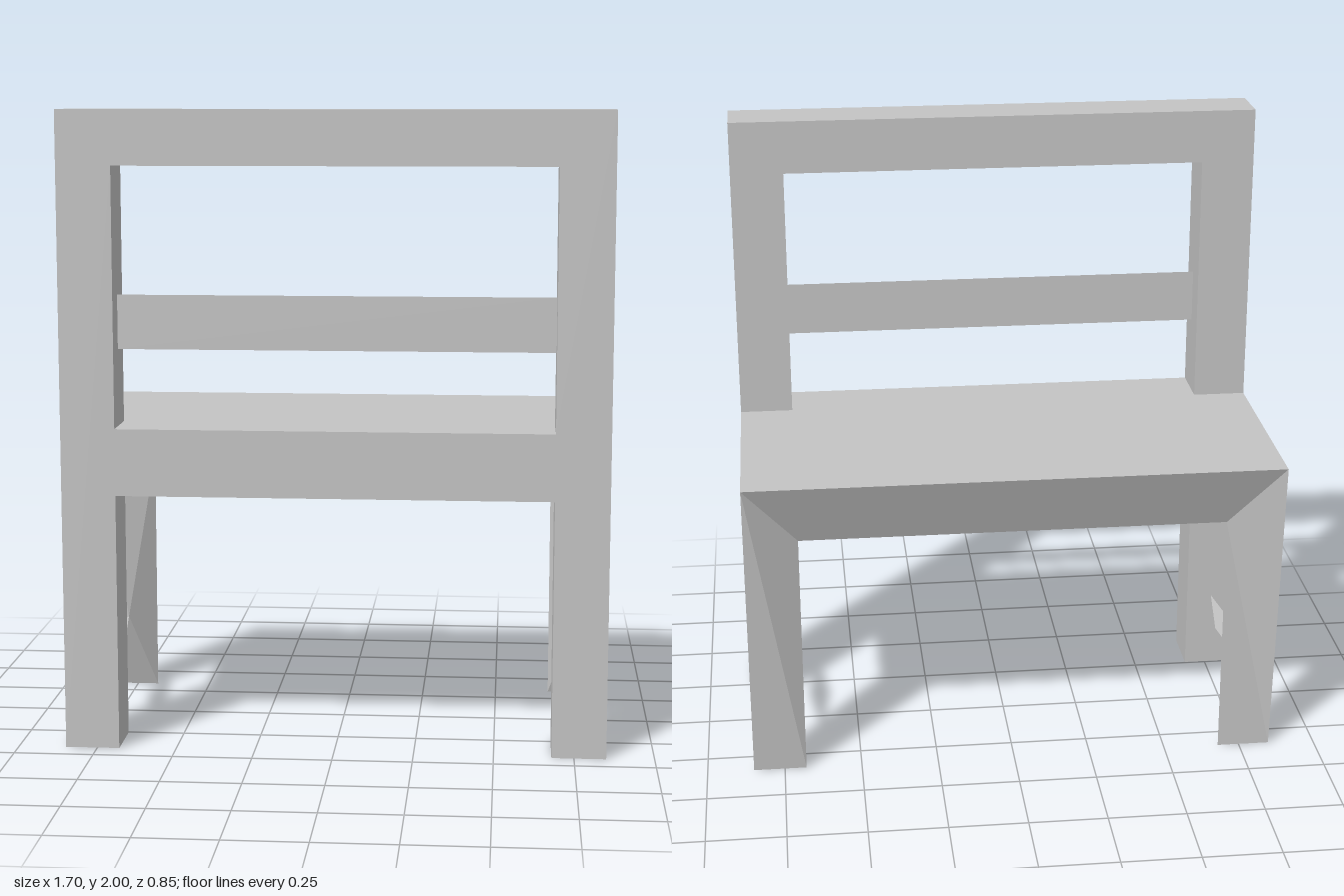
import * as THREE from 'three';

// Flat-faced geometry from convex polygons, each fanned from its first corner
function facesGeometry(faces) {
  const pos = [];
  for (const f of faces)
    for (let i = 1; i < f.length - 1; i++) pos.push(...f[0], ...f[i], ...f[i + 1]);
  const g = new THREE.BufferGeometry();
  g.setAttribute('position', new THREE.Float32BufferAttribute(pos, 3));
  g.computeVertexNormals();
  return g;
}

const flip = ([x, y, z]) => [-x, y, z];
const mirrorFaces = (faces) => faces.map((f) => f.map(flip).reverse());

export function createModel() {
  const model = new THREE.Group();
  const grey = new THREE.MeshStandardMaterial({ color: 0xc4c4c4 });
  grey.name = 'grey';
  const greySheet = new THREE.MeshStandardMaterial({ color: 0xc4c4c4, side: THREE.DoubleSide });
  greySheet.name = 'grey sheet';

  const add = (name, geometry, material = grey) => {
    const mesh = new THREE.Mesh(geometry, material);
    mesh.name = name;
    model.add(mesh);
    return mesh;
  };

  const W = 0.85, IN = 0.68;          // outer and inner half widths
  const TOP = 1.02, UNDER = 0.81;     // seat heights
  const Z0 = 0.255, Z1 = 0.425;       // backrest frame depth

  // Backrest frame: posts, top bar and seat rail in one outline
  const outline = new THREE.Shape([
    [-W, 0], [-IN, 0], [-IN, UNDER], [IN, UNDER], [IN, 0], [W, 0], [W, 2], [-W, 2],
  ].map((p) => new THREE.Vector2(...p)));
  outline.holes.push(new THREE.Path([
    [-IN, TOP], [-IN, 1.83], [IN, 1.83], [IN, TOP],
  ].map((p) => new THREE.Vector2(...p))));
  const frame = new THREE.ExtrudeGeometry(outline, { depth: Z1 - Z0, bevelEnabled: false });
  add('backrestFrame', frame).position.z = Z0;

  // Thin slat across the backrest opening
  add('backrestSlat', new THREE.PlaneGeometry(2 * IN, 0.17), greySheet).position.set(0, 1.345, 0.343);

  // Corners shared by the seat and the tapered legs
  const T = [W, TOP, -0.425], O = [W, UNDER, -Z0], I = [IN, UNDER, -0.338];
  const bottomOut = [W, 0, -0.338], bottomIn = [IN, 0, -0.338];
  const knee = [0.765, 0.26, -Z0];
  const seatTop = [W, TOP, Z0], seatLow = [W, UNDER, Z0];

  // Seat with a sloping far edge
  const side = [[seatTop, seatLow, O, T]];
  add('seat', facesGeometry([
    [flip(seatTop), seatTop, T, flip(T)],
    [seatLow, flip(seatLow), flip(O), flip(I), I, O],
    [T, I, flip(I), flip(T)],
    ...side, ...mirrorFaces(side),
  ]));

  // Tapered legs with a pointed knee
  const leg = [
    [T, O, bottomOut],
    [T, bottomOut, bottomIn, I],
    [O, knee, bottomOut],
    [knee, bottomIn, bottomOut],
    [knee, I, bottomIn],
    [O, I, knee],
  ];
  add('taperedLegLeft', facesGeometry(leg));
  add('taperedLegRight', facesGeometry(mirrorFaces(leg)));

  // Flat sliver stretchers from knee to post
  const [kx, ky] = knee;
  const stretcher = [[knee, [kx - 0.035, ky, 0], [kx, ky, Z0], [kx + 0.035, ky, 0]]];
  add('stretcherLeft', facesGeometry(stretcher), greySheet);
  add('stretcherRight', facesGeometry(mirrorFaces(stretcher)), greySheet);

  return model;
}
